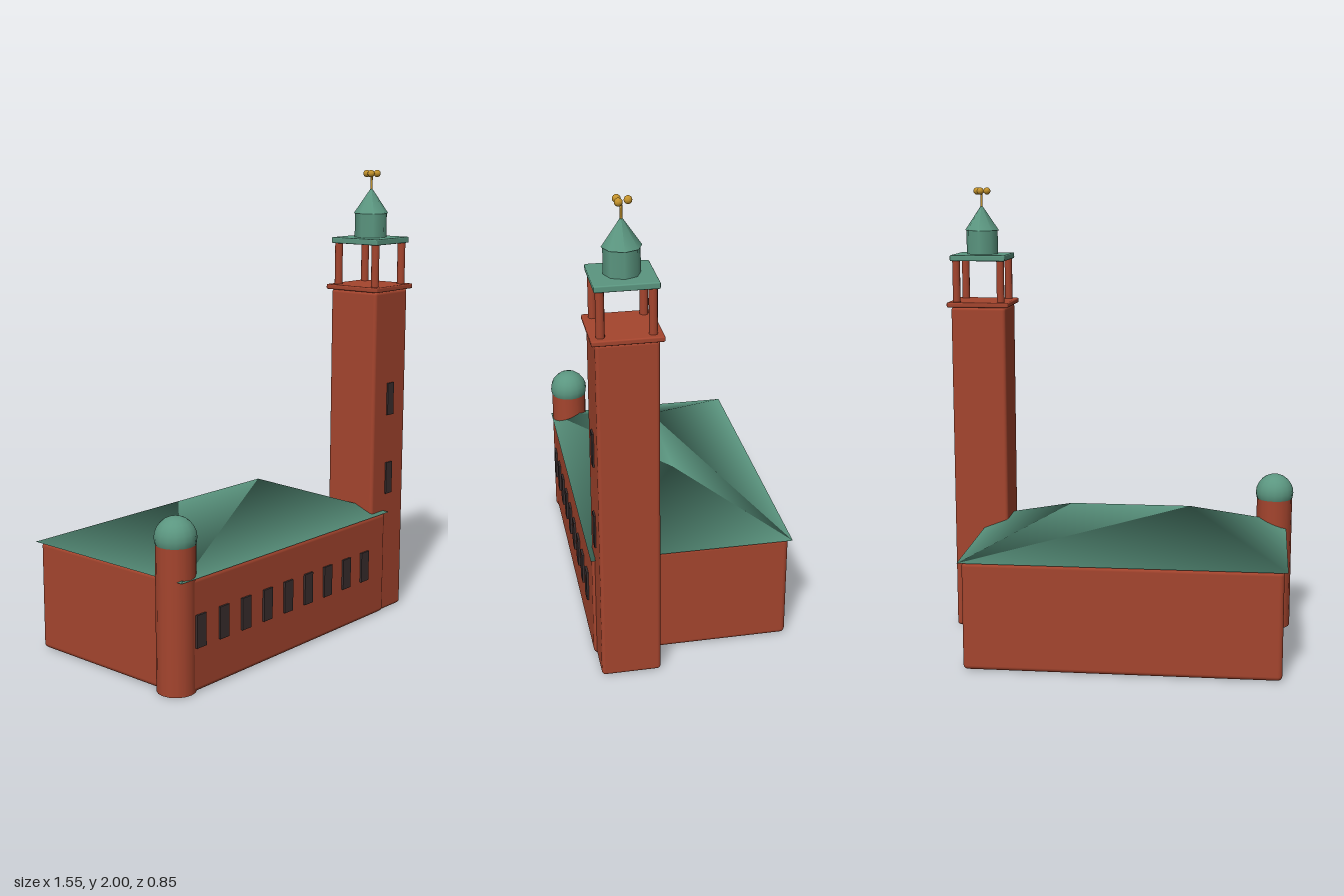
import * as THREE from 'three';
import { RoundedBoxGeometry } from 'three/addons/geometries/RoundedBoxGeometry.js';

const material = (name, color) => {
  const m = new THREE.MeshStandardMaterial({ color });
  m.name = name;
  return m;
};

// Hipped roof: eaves rectangle rising to a ridge, with smooth normals
function hipRoof(x0, x1, z0, z1, yEave, ridgeX0, ridgeX1, yRidge) {
  const g = new THREE.BufferGeometry();
  g.setAttribute('position', new THREE.Float32BufferAttribute([
    x0, yEave, z1, x1, yEave, z1, x1, yEave, z0, x0, yEave, z0,
    ridgeX0, yRidge, 0, ridgeX1, yRidge, 0,
  ], 3));
  g.setIndex([
    0, 1, 5, 0, 5, 4, // front slope
    2, 3, 4, 2, 4, 5, // back slope
    1, 2, 5, 3, 0, 4, // hips
    0, 3, 2, 0, 2, 1, // underside
  ]);
  g.computeVertexNormals();
  return g;
}

export function createModel() {
  const brick = material('red brick', 0xa5452e);
  const copper = material('green copper', 0x5b9680);
  const glass = material('dark window', 0x3a2f2f);
  const gold = material('gold', 0xc4932c);

  const model = new THREE.Group();
  model.name = 'townHall';
  const add = (parent, name, geometry, mat, x, y, z) => {
    const mesh = new THREE.Mesh(geometry, mat);
    mesh.name = name;
    mesh.position.set(x, y, z);
    parent.add(mesh);
    return mesh;
  };
  const group = (name, x, z) => {
    const g = new THREE.Group();
    g.name = name;
    g.position.set(x, 0, z);
    model.add(g);
    return g;
  };

  // Main hall with its roof and a row of front windows
  const hall = group('hall', 0, 0);
  add(hall, 'hallWalls', new RoundedBoxGeometry(1.34, 0.47, 0.824, 3, 0.02), brick, -0.06, 0.235, 0);
  add(hall, 'hallRoof', hipRoof(-0.745, 0.625, -0.425, 0.42, 0.469, -0.32, 0.2, 0.635), copper, 0, 0, 0);
  for (let i = 0; i < 9; i++) {
    add(hall, 'hallWindow', new THREE.BoxGeometry(0.054, 0.135, 0.0098), glass, -0.632 + i * 0.135, 0.252, 0.416);
  }

  // Round corner turret with a ball dome
  const turret = group('turret', -0.69, 0.337);
  add(turret, 'turretShaft', new THREE.CylinderGeometry(0.08, 0.08, 0.63, 16), brick, 0, 0.315, 0);
  add(turret, 'turretDome', new THREE.SphereGeometry(0.085, 16, 12), copper, 0, 0.627, 0);

  // Tall tower
  const tower = group('tower', 0.637, 0.279);
  add(tower, 'towerShaft', new RoundedBoxGeometry(0.244, 1.477, 0.244, 3, 0.015), brick, 0, 0.7385, 0);
  add(tower, 'towerLedge', new RoundedBoxGeometry(0.276, 0.022, 0.276, 2, 0.006), brick, 0, 1.487, 0);
  for (const y of [0.626, 0.99]) {
    add(tower, 'towerWindow', new THREE.BoxGeometry(0.045, 0.145, 0.0098), glass, 0, y, 0.124);
  }

  // Open belfry: four posts under a square canopy
  for (const sx of [-1, 1]) {
    for (const sz of [-1, 1]) {
      add(tower, 'belfryPost', new THREE.CylinderGeometry(0.017, 0.017, 0.19, 10), brick, sx * 0.099, 1.589, sz * 0.099);
    }
  }
  add(tower, 'belfryCanopy', new RoundedBoxGeometry(0.246, 0.026, 0.246, 2, 0.005), copper, 0, 1.693, 0);

  // Eight-sided lantern and spire
  add(tower, 'lantern', new THREE.CylinderGeometry(0.071, 0.071, 0.112, 8), copper, 0, 1.76, 0);
  add(tower, 'spire', new THREE.ConeGeometry(0.077, 0.113, 8), copper, 0, 1.8675, 0);

  // Finial with three gold balls
  add(tower, 'finialPole', new THREE.CylinderGeometry(0.005, 0.005, 0.07, 8), gold, 0, 1.95, 0);
  for (let i = 0; i < 3; i++) {
    const a = Math.PI + i * Math.PI * 2 / 3;
    add(tower, 'finialBall', new THREE.SphereGeometry(0.016, 12, 8), gold,
      Math.sin(a) * 0.026, 1.984, Math.cos(a) * 0.026);
  }

  return model;
}
